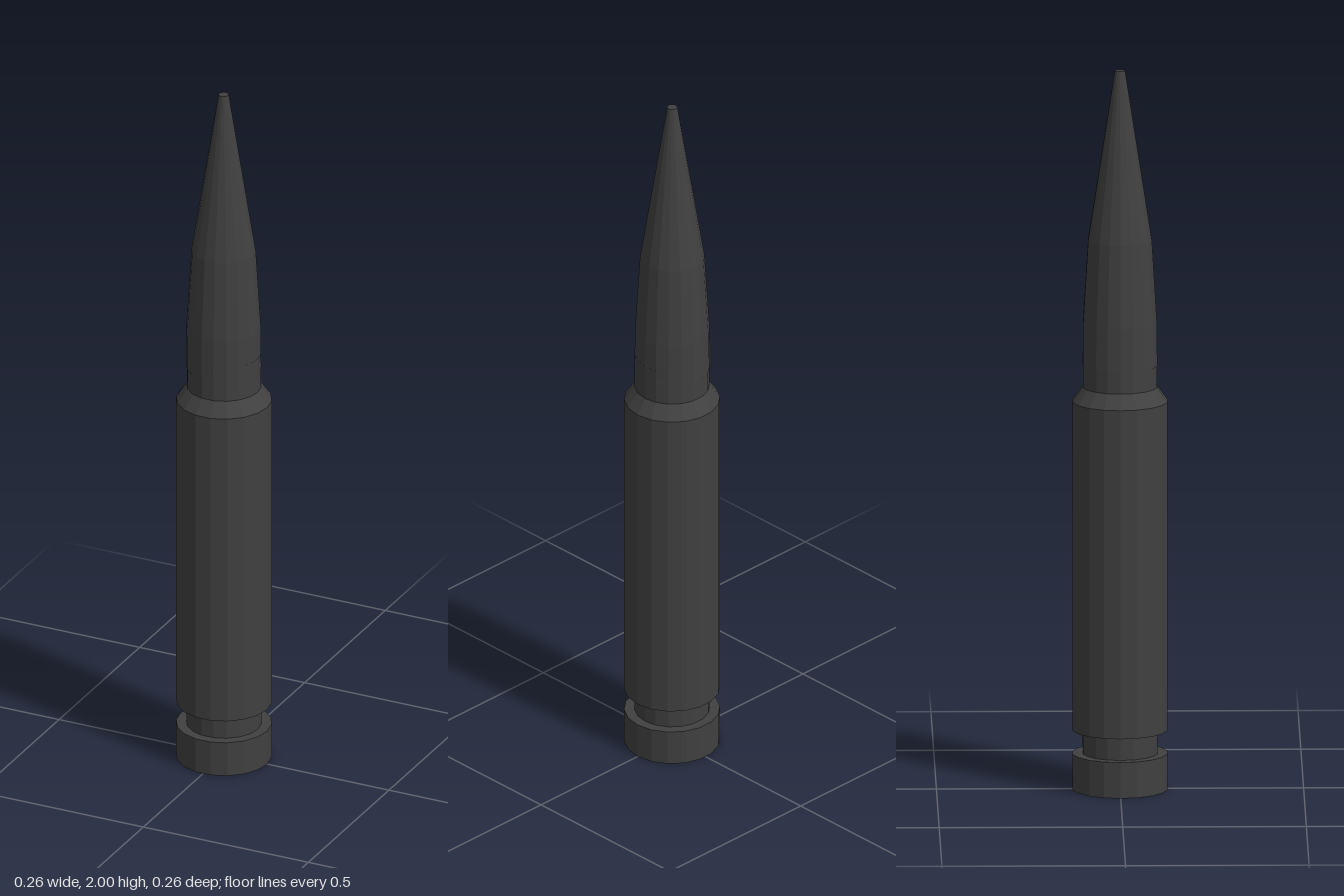
import * as THREE from 'three';

const SIDES = 18;

export function createModel() {
  const group = new THREE.Group();
  const material = new THREE.MeshStandardMaterial({ color: 0x404040, flatShading: true });

  // Revolves [radius, height] points, listed from bottom to top
  function turned(name, profile) {
    const points = profile.map(([r, y]) => new THREE.Vector2(r, y));
    const mesh = new THREE.Mesh(new THREE.LatheGeometry(points, SIDES, Math.PI / 2), material);
    mesh.name = name;
    group.add(mesh);
    return mesh;
  }

  // Casing: rim, extractor groove, body, shoulder and neck
  turned('casing', [
    [0, 0], [0.131, 0], [0.131, 0.1], [0.103, 0.1], [0.103, 0.165], [0.131, 0.165],
    [0.131, 1.08], [0.102, 1.12], [0.102, 1.22], [0, 1.22],
  ]);

  // Pointed tip with a small flat end, seated slightly off centre in the neck
  const tip = turned('tip', [
    [0, 1.18], [0.103, 1.18], [0.102, 1.3], [0.088, 1.53], [0.014, 2], [0, 2],
  ]);
  tip.position.x = -0.001;

  return group;
}
